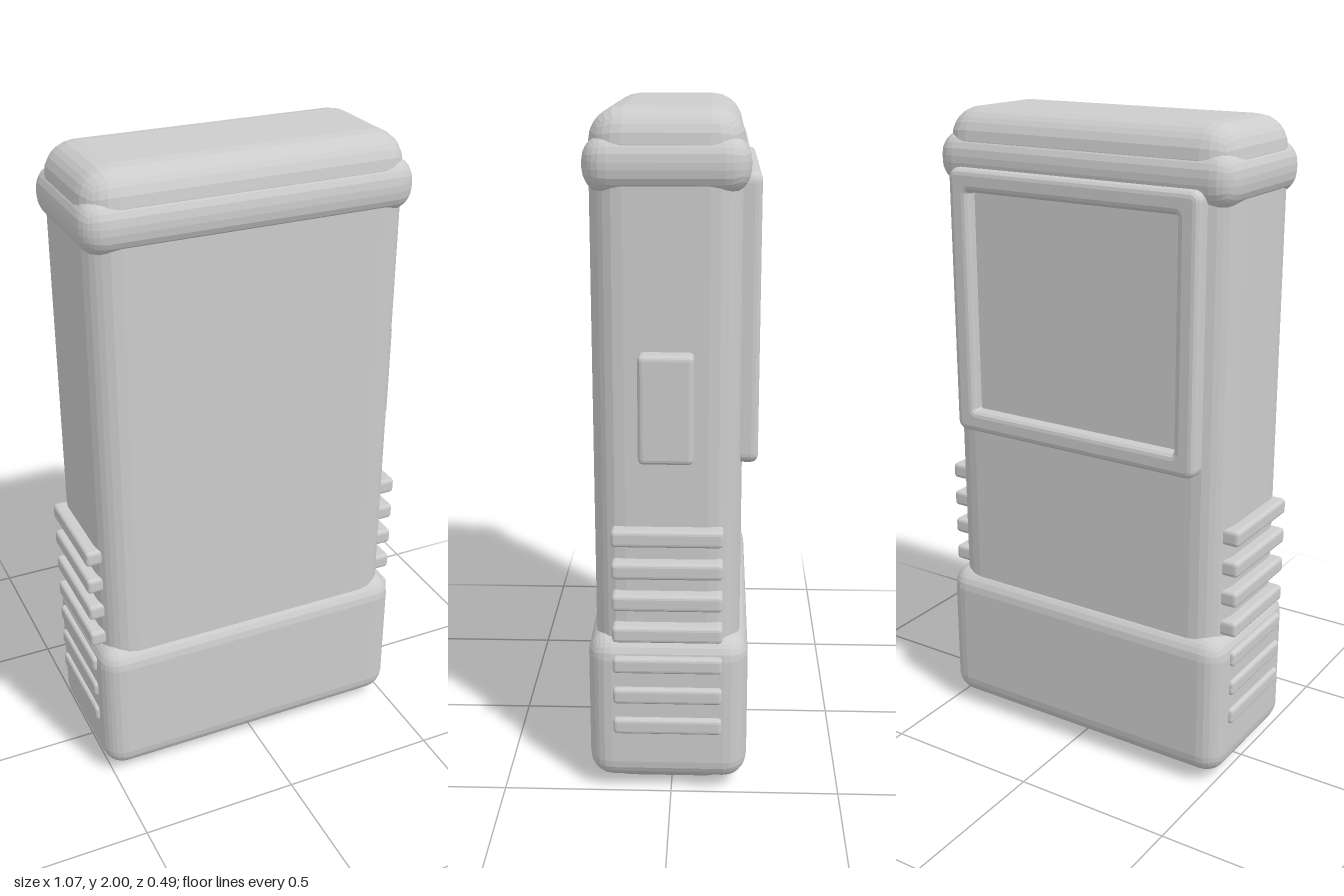
import * as THREE from 'three';
import { RoundedBoxGeometry } from 'three/addons/geometries/RoundedBoxGeometry.js';

export function createModel() {
  const model = new THREE.Group();
  model.name = 'handheldDevice';
  const grey = new THREE.MeshStandardMaterial({ color: 0xcccccc });
  grey.name = 'plain grey';

  // Faceted rounded block given by its extents on each axis
  function block(name, [x0, x1], [y0, y1], [z0, z1], radius, segments = 3) {
    const geometry = new RoundedBoxGeometry(x1 - x0, y1 - y0, z1 - z0, segments, radius);
    geometry.computeVertexNormals(); // unshared vertices, so each facet is flat
    const mesh = new THREE.Mesh(geometry, grey);
    mesh.name = name;
    mesh.position.set((x0 + x1) / 2, (y0 + y1) / 2, (z0 + z1) / 2);
    model.add(mesh);
    return mesh;
  }

  // Case, thick base sleeve and top band
  block('body', [-0.5, 0.48], [0, 2], [-0.2, 0.225], 0.095);
  block('baseSleeve', [-0.525, 0.505], [0.03, 0.5], [-0.225, 0.245], 0.07);
  block('topBand', [-0.515, 0.495], [1.77, 1.93], [-0.215, 0.24], 0.07);

  // Side button
  block('sideButton', [0.45, 0.532], [1.04, 1.35], [-0.065, 0.09], 0.015, 2);

  // Grip ribs on both sides
  for (let i = 0; i < 7; i++) {
    const y = 0.225 + i * 0.0985;
    block('leftGripRib', [0.44, 0.523], [y - 0.025, y + 0.025], [-0.15, 0.17], 0.012, 2);
    block('rightGripRib', [-0.538, -0.46], [y - 0.025, y + 0.025], [-0.15, 0.17], 0.012, 2);
  }

  // Rounded rectangle outline for the screen frame
  function roundedRect(path, w, h, r) {
    const x = w / 2 - r, y = h / 2 - r;
    path.absarc(x, y, r, 0, Math.PI / 2);
    path.absarc(-x, y, r, Math.PI / 2, Math.PI);
    path.absarc(-x, -y, r, Math.PI, Math.PI * 1.5);
    path.absarc(x, -y, r, Math.PI * 1.5, Math.PI * 2);
    path.closePath();
    return path;
  }

  // Raised frame on the back around the recessed screen
  const outline = roundedRect(new THREE.Shape(), 0.855, 0.82, 0.03);
  outline.holes.push(roundedRect(new THREE.Path(), 0.715, 0.68, 0.006));
  const frame = new THREE.Mesh(new THREE.ExtrudeGeometry(outline, {
    depth: 0.05, bevelThickness: 0.02, bevelSize: 0.02, bevelOffset: -0.02,
    bevelSegments: 3, curveSegments: 3,
  }), grey);
  frame.name = 'screenFrame';
  frame.rotation.y = Math.PI;
  frame.position.set(-0.0075, 1.42, -0.175);
  model.add(frame);

  // Flat screen at the bottom of the recess
  const screen = new THREE.Mesh(new THREE.BoxGeometry(0.74, 0.7, 0.008), grey);
  screen.name = 'screen';
  screen.position.set(-0.0075, 1.42, -0.2);
  model.add(screen);

  return model;
}
